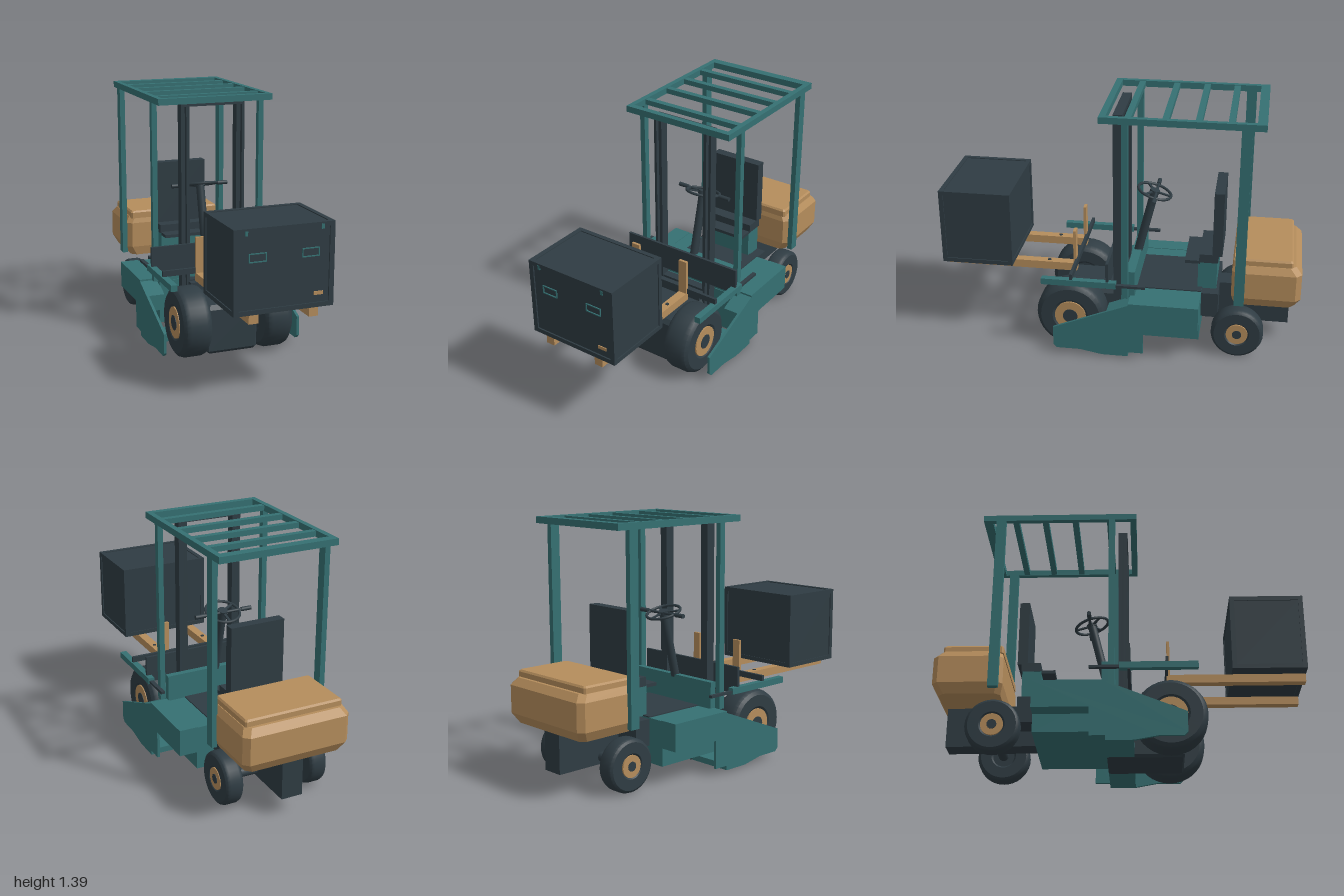
import * as THREE from 'three';
import { toCreasedNormals } from 'three/addons/utils/BufferGeometryUtils.js';

const mat = (name, color) => {
  const m = new THREE.MeshStandardMaterial({ color });
  m.name = name;
  return m;
};

export function createModel() {
  const root = new THREE.Group();
  root.name = 'forklift';
  const dark = mat('dark slate', 0x2f3c43);
  const teal = mat('teal paint', 0x357072);
  const tan = mat('tan paint', 0xb58d5c);

  const add = (name, geo, material, parent = root) => {
    const m = new THREE.Mesh(geo, material);
    m.name = name;
    parent.add(m);
    return m;
  };
  // Box given by its limits on each axis
  const box = (name, material, [x0, x1], [y0, y1], [z0, z1]) => {
    const g = new THREE.BoxGeometry(x1 - x0, y1 - y0, z1 - z0);
    g.translate((x0 + x1) / 2, (y0 + y1) / 2, (z0 + z1) / 2);
    return add(name, g, material);
  };
  // The same box on both sides
  const pair = (name, material, [x0, x1], y, z) => {
    box(name + 'Left', material, [x0, x1], y, z);
    box(name + 'Right', material, [-x1, -x0], y, z);
  };
  // Side profile of [z, y] points extruded from x0 to x1
  const profile = (name, material, pts, x0, x1) => {
    const shape = new THREE.Shape(pts.map(([z, y]) => new THREE.Vector2(z, y)));
    const g = new THREE.ExtrudeGeometry(shape, { depth: x1 - x0, bevelEnabled: false });
    g.rotateY(-Math.PI / 2).translate(x1, 0, 0);
    return add(name, g, material);
  };
  // Rod between two points
  const rod = (name, material, a, b, r, sides = 16) => {
    const p = new THREE.Vector3(...a), q = new THREE.Vector3(...b);
    const m = add(name, new THREE.CylinderGeometry(r, r, p.distanceTo(q), sides), material);
    m.position.copy(p).add(q).multiplyScalar(0.5);
    m.quaternion.setFromUnitVectors(new THREE.Vector3(0, 1, 0), q.sub(p).normalize());
    return m;
  };
  // Stacked chamfered rectangles: [y, half width, z back, z front, chamfer]
  const loft = (name, material, levels) => {
    const pos = [], idx = [];
    for (const [y, w, b, f, c] of levels) {
      for (const [x, z] of [[w - c, f], [w, f - c], [w, b + c], [w - c, b],
        [c - w, b], [-w, b + c], [-w, f - c], [c - w, f]]) pos.push(x, y, z);
    }
    for (let l = 0; l < levels.length - 1; l++) {
      for (let i = 0; i < 8; i++) {
        const a = l * 8 + i, d = l * 8 + (i + 1) % 8;
        idx.push(a, d, d + 8, a, d + 8, a + 8);
      }
    }
    const t = (levels.length - 1) * 8;
    for (let i = 1; i < 7; i++) idx.push(0, i + 1, i, t, t + i, t + i + 1);
    const g = new THREE.BufferGeometry();
    g.setAttribute('position', new THREE.Float32BufferAttribute(pos, 3));
    g.setIndex(idx);
    const flat = g.toNonIndexed();
    flat.computeVertexNormals();
    return add(name, flat, material);
  };

  // Wheels: rounded tyre, tan hub ring and dark hub cap
  const wheel = (name, side, xi, xo, y, z, r, hub, cap) => {
    const g = new THREE.Group();
    g.name = name + (side > 0 ? 'Left' : 'Right');
    const w = (xo - xi) / 2, e = Math.min(w * 0.35, 0.03);
    const pts = [[0, -w + 0.01], [hub, -w + 0.01], [hub * 1.15, -w], [r - e, -w], [r - e * 0.3, -w + e * 0.5],
      [r, -w + e * 1.3], [r, w - e * 1.3], [r - e * 0.3, w - e * 0.5], [r - e, w], [hub * 1.15, w],
      [hub, w - 0.01], [0, w - 0.01]].map(p => new THREE.Vector2(...p));
    add('tyre', toCreasedNormals(new THREE.LatheGeometry(pts, 36), 0.6), dark, g);
    add('hub', new THREE.CylinderGeometry(hub, hub, 0.01, 28).translate(0, w - 0.006, 0), tan, g);
    add('hubCap', new THREE.CylinderGeometry(cap, cap, 0.014, 16).translate(0, w - 0.005, 0), dark, g);
    g.rotation.z = -side * Math.PI / 2;
    g.position.set(side * (xi + xo) / 2, y, z);
    root.add(g);
  };
  for (const s of [1, -1]) {
    wheel('frontWheel', s, 0.155, 0.315, 0.203, 0.268, 0.195, 0.088, 0.042);
    wheel('rearWheel', s, 0.2, 0.3, 0.153, -0.665, 0.145, 0.06, 0.026);
  }
  rod('frontAxle', dark, [-0.17, 0.2, 0.268], [0.17, 0.2, 0.268], 0.035);
  rod('rearAxle', dark, [-0.22, 0.153, -0.665], [0.22, 0.153, -0.665], 0.028);

  // Chassis and drive housing
  loft('driveHousing', dark, [[0.02, 0.135, -0.07, 0.33, 0.01], [0.035, 0.147, -0.07, 0.34, 0.01],
    [0.27, 0.147, -0.07, 0.34, 0.01], [0.295, 0.13, -0.07, 0.32, 0.01]]);
  box('frontCrossBar', dark, [-0.15, 0.15], [0.31, 0.355], [0.05, 0.09]);
  box('rearChassis', dark, [-0.06, 0.06], [0.115, 0.345], [-0.945, -0.45]);
  box('chassisBlock', dark, [-0.2, 0.2], [0.2, 0.345], [-0.55, -0.45]);
  box('body', teal, [-0.3, 0.3], [0.105, 0.352], [-0.455, -0.02]);
  box('floorMat', dark, [-0.2, 0.2], [0.352, 0.358], [-0.455, -0.09]);
  box('lowerCrossPlate', teal, [-0.398, 0.398], [0.022, 0.055], [-0.07, 0.075]);
  box('dashPanel', teal, [-0.3, 0.3], [0.35, 0.5], [-0.095, -0.06]);
  box('frontCowl', teal, [-0.33, 0.33], [0.35, 0.425], [-0.06, -0.025]);

  // Side boxes and sloping wheel guards
  const guard = [[0.35, 0.175], [0.35, 0.065], [0.33, 0.045], [0.2, 0.045], [0.075, 0.022], [-0.07, 0.022],
    [-0.07, 0.048], [-0.155, 0.048], [-0.155, 0.205], [-0.455, 0.205], [-0.455, 0.355], [-0.07, 0.355], [-0.07, 0.345]];
  const sideBox = [[0.05, 0.205], [0.05, 0.295], [-0.07, 0.345], [-0.07, 0.355], [-0.455, 0.355], [-0.455, 0.205]];
  for (const s of [1, -1]) {
    const n = s > 0 ? 'Left' : 'Right';
    profile('wheelGuard' + n, teal, guard, s > 0 ? 0.385 : -0.4, s > 0 ? 0.4 : -0.385);
    profile('sideBox' + n, teal, sideBox, s > 0 ? 0.295 : -0.386, s > 0 ? 0.386 : -0.295);
  }

  // Counterweight
  loft('counterweight', tan, [[0.335, 0.275, -0.965, -0.635, 0.03], [0.39, 0.305, -0.998, -0.622, 0.03],
    [0.54, 0.305, -0.998, -0.622, 0.03], [0.578, 0.282, -0.965, -0.632, 0.03]]);
  loft('counterweightLid', tan, [[0.57, 0.278, -0.948, -0.625, 0.008],
    [0.605, 0.278, -0.948, -0.625, 0.008], [0.615, 0.27, -0.94, -0.633, 0.008]]);

  // Overhead guard
  pair('frontPost', teal, [0.302, 0.332], [0.35, 1.37], [-0.06, -0.025]);
  pair('rearPost', teal, [0.302, 0.332], [0.355, 1.37], [-0.695, -0.64]);
  pair('roofRail', teal, [0.302, 0.332], [1.365, 1.4], [-0.767, 0.095]);
  box('roofFrontBar', teal, [-0.302, 0.302], [1.365, 1.4], [0.06, 0.095]);
  box('roofRearBar', teal, [-0.302, 0.302], [1.365, 1.4], [-0.767, -0.717]);
  for (const z of [-0.055, -0.25, -0.42, -0.587])
    box('roofSlat', teal, [-0.302, 0.302], [1.368, 1.397], [z - 0.017, z + 0.017]);

  // Mast: channel uprights
  pair('mastUpright', dark, [0.15, 0.187], [0.06, 1.365], [-0.01, 0.018]);
  pair('mastOuterFlange', dark, [0.172, 0.187], [0.06, 1.365], [0.018, 0.042]);
  pair('mastInnerFlange', dark, [0.138, 0.156], [0.06, 1.365], [-0.01, 0.042]);
  box('mastTopBar', dark, [-0.187, 0.187], [1.343, 1.365], [-0.01, 0.042]);
  box('mastLowerBar', dark, [-0.14, 0.14], [0.31, 0.36], [-0.01, 0.04]);

  // Carriage, reach arms and forks
  box('carriagePlate', dark, [-0.37, 0.37], [0.425, 0.575], [0.042, 0.057]);
  pair('reachArm', teal, [0.342, 0.378], [0.43, 0.465], [0, 0.415]);
  pair('armRod', dark, [0.35, 0.372], [0.436, 0.45], [-0.16, 0]);
  box('forkBar', dark, [-0.37, 0.37], [0.465, 0.497], [0.242, 0.258]);
  pair('fork', tan, [0.135, 0.185], [0.424, 0.47], [0.25, 0.998]);
  pair('forkUpright', tan, [0.135, 0.185], [0.47, 0.67], [0.252, 0.268]);
  for (const x of [-0.16, 0.16])
    add('forkPin', new THREE.CylinderGeometry(0.01, 0.01, 0.006, 12).translate(x, 0.471, 0.41), dark);

  // Crate: core with raised edge frame
  box('crate', dark, [-0.26, 0.26], [0.475, 0.895], [0.605, 0.992]);
  for (const z of [[0.6, 0.625], [0.975, 1.0]]) {
    pair('crateCornerPost', dark, [0.24, 0.266], [0.47, 0.9], z);
    for (const y of [[0.47, 0.494], [0.876, 0.9]]) box('crateFrameBar', dark, [-0.266, 0.266], y, z);
  }
  for (const y of [[0.47, 0.494], [0.876, 0.9]]) pair('crateSideBar', dark, [0.24, 0.266], y, [0.6, 1]);
  for (const x of [-0.14, 0.14]) {
    for (const y of [0.73, 0.771]) box('crateHandleRim', teal, [x - 0.046, x + 0.046], [y, y + 0.005], [0.99, 0.998]);
    for (const e of [-0.046, 0.041]) box('crateHandleRim', teal, [x + e, x + e + 0.005], [0.73, 0.776], [0.99, 0.998]);
  }
  pair('crateClip', teal, [0.193, 0.208], [0.865, 0.89], [0.995, 1.001]);
  box('crateTag', tan, [0.16, 0.21], [0.532, 0.55], [0.99, 0.997]);

  // Seat
  box('seatBase', teal, [-0.15, 0.15], [0.352, 0.515], [-0.535, -0.43]);
  box('seatLip', dark, [-0.15, 0.15], [0.502, 0.52], [-0.44, -0.355]);
  box('seatCushion', dark, [-0.155, 0.155], [0.513, 0.563], [-0.54, -0.435]);
  box('seatBack', dark, [-0.155, 0.155], [0.555, 0.932], [-0.562, -0.507]);

  // Steering column, wheel and handle bar
  rod('steeringColumn', dark, [0, 0.49, -0.075], [0, 0.858, -0.165], 0.024);
  const steering = new THREE.Group();
  steering.name = 'steeringWheel';
  add('rim', new THREE.TorusGeometry(0.095, 0.008, 8, 32).rotateX(Math.PI / 2), dark, steering);
  for (let i = 0; i < 3; i++) {
    const spoke = add('spoke', new THREE.BoxGeometry(0.095, 0.008, 0.014).translate(0.0475, 0, 0), dark, steering);
    spoke.rotation.y = Math.PI / 2 + i * Math.PI * 2 / 3;
  }
  add('steeringHub', new THREE.CylinderGeometry(0.028, 0.028, 0.02, 16), dark, steering);
  steering.position.set(0, 0.86, -0.165);
  steering.rotation.x = -0.29;
  root.add(steering);
  rod('handleBar', dark, [-0.16, 0.858, -0.175], [0.16, 0.858, -0.175], 0.008, 10);
  for (const s of [-1, 1]) rod('handleGrip', dark, [s * 0.11, 0.858, -0.175], [s * 0.17, 0.858, -0.175], 0.012, 10);

  return root;
}
